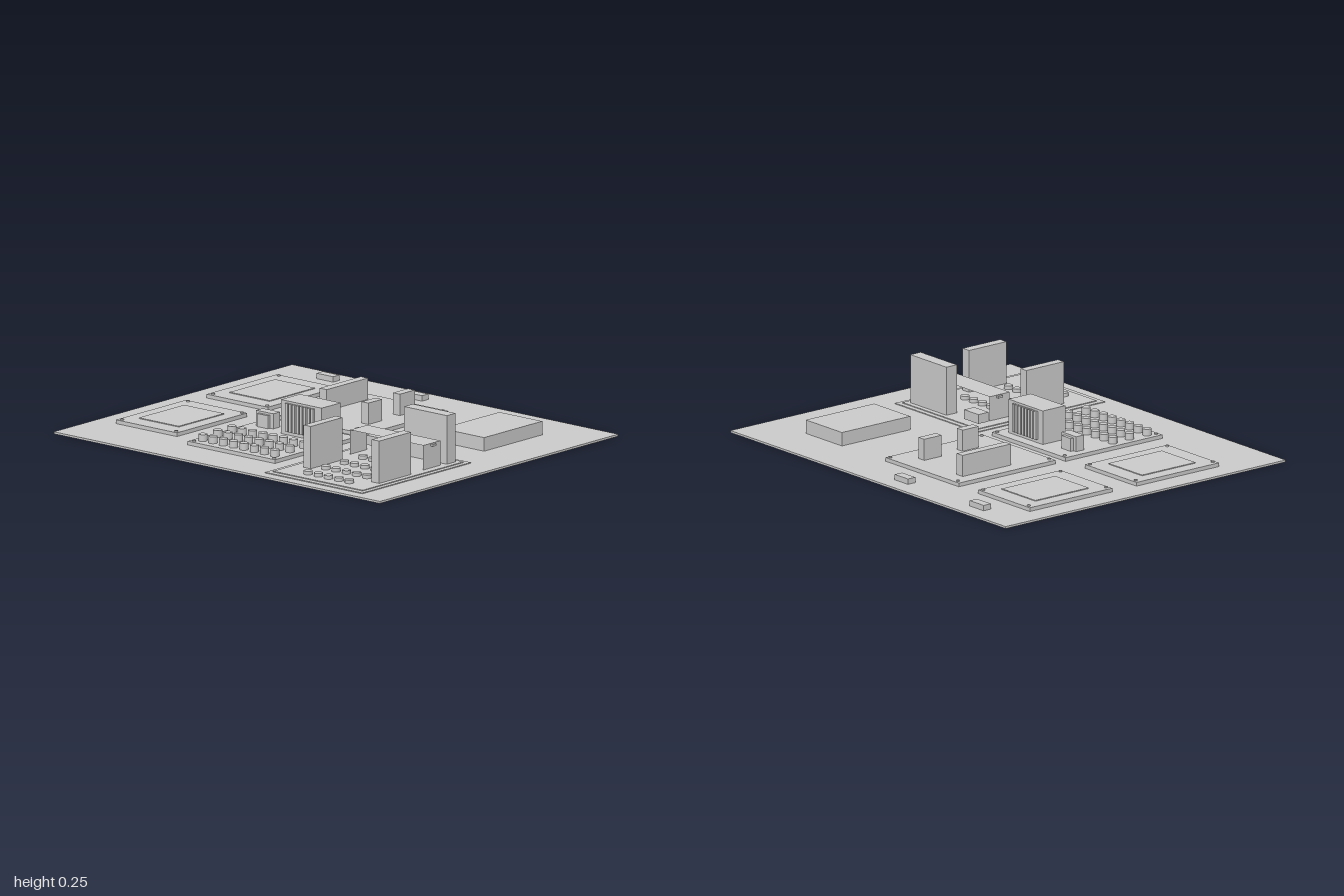
import * as THREE from 'three';

export function createModel() {
  const model = new THREE.Group();
  const grey = new THREE.MeshStandardMaterial({ color: 0xcccccc });
  const sheet = new THREE.MeshStandardMaterial({ color: 0xcccccc, side: THREE.DoubleSide });
  const BASE = 0.01, BOARD = 0.028, TRAY = 0.018;

  // box given by its extents on each axis
  function box(name, x0, x1, y0, y1, z0, z1, parent = model) {
    const mesh = new THREE.Mesh(new THREE.BoxGeometry(x1 - x0, y1 - y0, z1 - z0), grey);
    mesh.position.set((x0 + x1) / 2, (y0 + y1) / 2, (z0 + z1) / 2);
    mesh.name = name;
    parent.add(mesh);
    return mesh;
  }

  function peg(name, x, z, r, y0, y1, parent = model) {
    const mesh = new THREE.Mesh(new THREE.CylinderGeometry(r, r, y1 - y0, 20), grey);
    mesh.position.set(x, (y0 + y1) / 2, z);
    mesh.name = name;
    parent.add(mesh);
  }

  // circuit board with a screw in each corner
  function board(name, x0, x1, z0, z1) {
    const group = new THREE.Group();
    group.name = name;
    box('boardPlate', x0, x1, BASE, BOARD, z0, z1, group);
    for (const x of [x0 + 0.016, x1 - 0.016])
      for (const z of [z0 + 0.026, z1 - 0.018]) peg('screw', x, z, 0.008, BOARD, 0.034, group);
    model.add(group);
    return group;
  }

  // rows of round capacitors
  function pegGrid(name, xs, z0, z1, rows, y0, y1) {
    const group = new THREE.Group();
    group.name = name;
    for (const x of xs)
      for (let i = 0; i < rows; i++)
        peg('capacitor', x, z0 + (z1 - z0) * i / (rows - 1), 0.021, y0, y1, group);
    model.add(group);
  }

  box('basePlate', -0.84, 0.84, 0, BASE, -1, 1);

  // two rear boards with a slim raised panel
  for (const [x0, x1] of [[-0.535, -0.04], [0.105, 0.6]]) {
    const group = board('panelBoard', x0, x1, -0.885, -0.51);
    const cx = (x0 + x1) / 2;
    box('raisedPanel', cx - 0.16, cx + 0.16, BOARD, 0.032, -0.82, -0.575, group);
  }

  // capacitor board with transformer and relay
  board('capacitorBoard', -0.62, -0.04, -0.37, 0.165);
  pegGrid('capacitorBank', [-0.565, -0.46, -0.36], -0.325, 0.117, 8, BOARD, 0.06);
  const transformer = new THREE.Group();
  transformer.name = 'transformer';
  box('core', -0.228, -0.093, BOARD, 0.19, -0.14, 0.11, transformer);
  for (const [x0, x1] of [[-0.24, -0.228], [-0.093, -0.08]])
    for (let i = 0; i < 8; i++) {
      const z = -0.105 + i * 0.0225;
      box('rib', x0, x1, 0.045, 0.18, z, z + 0.015, transformer);
    }
  model.add(transformer);
  box('relayBody', -0.202, -0.122, BOARD, 0.09, -0.308, -0.242);
  box('relayCore', -0.187, -0.139, BOARD, 0.1, -0.327, -0.222);

  // power board with three upright blocks
  board('powerBoard', 0.02, 0.6, -0.37, 0.165);
  box('heatSink', 0.23, 0.52, BOARD, 0.13, -0.3, -0.257);
  box('uprightBlock', 0.165, 0.262, BOARD, 0.13, 0.013, 0.055);
  box('uprightBlock', 0.387, 0.492, BOARD, 0.13, 0.013, 0.055);

  // low two-step tray at the front
  box('trayRim', -0.785, -0.02, BASE, 0.014, 0.247, 0.845);
  box('trayBoard', -0.757, -0.045, 0.014, TRAY, 0.273, 0.822);
  pegGrid('trayCapacitors', [-0.69, -0.565, -0.435, -0.305], 0.43, 0.682, 5, TRAY, 0.035);
  box('tallPlate', -0.61, -0.385, TRAY, 0.22, 0.333, 0.376);
  box('tallPlate', -0.61, -0.385, TRAY, 0.22, 0.75, 0.796);
  box('tallConnector', -0.132, -0.07, TRAY, 0.25, 0.532, 0.795);
  box('smallConnector', -0.132, -0.07, 0.03, 0.075, 0.3, 0.405);

  // folded cover, open at the sides, with a tab at each end
  const cover = new THREE.Group();
  cover.name = 'foldedCover';
  const top = new THREE.Mesh(new THREE.PlaneGeometry(0.122, 0.45), sheet);
  top.rotation.x = -Math.PI / 2;
  top.position.set(-0.225, 0.135, 0.559);
  top.name = 'coverTop';
  cover.add(top);
  for (const side of [-1, 1]) {
    const end = new THREE.Mesh(new THREE.PlaneGeometry(0.122, 0.135 - TRAY), sheet);
    end.position.set(-0.225, (0.135 + TRAY) / 2, 0.559 + side * 0.225);
    if (side < 0) end.rotation.y = Math.PI;
    end.name = 'coverEnd';
    cover.add(end);
    const z = 0.559 + side * 0.232;
    box('coverTab', -0.233, -0.208, 0.122, 0.132, z - 0.007, z + 0.007, cover);
  }
  model.add(cover);

  // loose parts on the base plate
  box('supplyCase', 0.19, 0.6, BASE, 0.075, 0.48, 0.743);
  box('edgeConnector', 0.713, 0.757, BASE, 0.036, -0.74, -0.638);
  box('edgeConnector', 0.713, 0.757, BASE, 0.036, -0.19, -0.093);

  return model;
}
